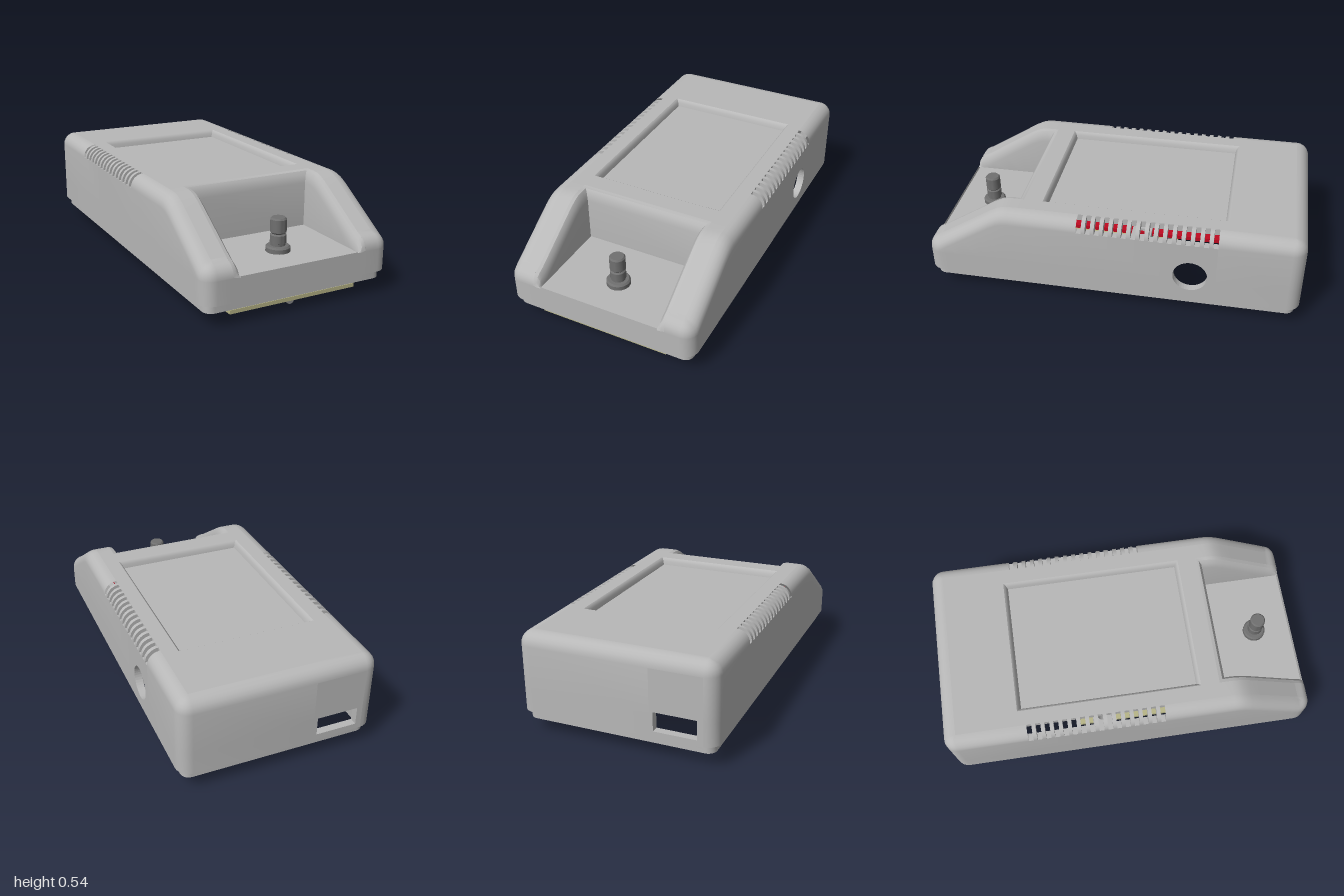
import * as THREE from 'three';
import { toCreasedNormals } from 'three/addons/utils/BufferGeometryUtils.js';

const mat = (name, color) => Object.assign(new THREE.MeshStandardMaterial({ color }), { name });

export function createModel() {
  const group = new THREE.Group();
  const shellGrey = mat('shell grey', 0xb8b8b8);
  shellGrey.side = THREE.DoubleSide;
  const shaftGrey = mat('shaft grey', 0x707070);
  const pinGrey = mat('pin grey', 0x8a8a8a);
  const olive = mat('circuit board olive', 0xb8b588);
  const red = mat('display board red', 0xc00a20);
  const purple = mat('module purple', 0xa870c0);

  const add = (name, geo, material, x = 0, y = 0, z = 0) => {
    const m = new THREE.Mesh(geo, material);
    m.name = name;
    m.position.set(x, y, z);
    group.add(m);
    return m;
  };
  const box = (name, material, x0, x1, y0, y1, z0, z1) =>
    add(name, new THREE.BoxGeometry(x1 - x0, y1 - y0, z1 - z0), material,
      (x0 + x1) / 2, (y0 + y1) / 2, (z0 + z1) / 2);
  const cyl = (name, material, r, y0, y1, x, z, n = 16) =>
    add(name, new THREE.CylinderGeometry(r, r, y1 - y0, n), material, x, (y0 + y1) / 2, z);

  // Grid of quads through rows of points, with an optional rule for leaving quads out
  const surface = (rows, skip = () => false) => {
    const pos = [];
    for (let j = 0; j < rows.length - 1; j++)
      for (let i = 0; i < rows[j].length - 1; i++) {
        if (skip(i, j)) continue;
        const a = rows[j][i], b = rows[j][i + 1], c = rows[j + 1][i + 1], d = rows[j + 1][i];
        pos.push(...a, ...d, ...c, ...a, ...c, ...b);
      }
    const g = new THREE.BufferGeometry();
    g.setAttribute('position', new THREE.Float32BufferAttribute(pos, 3));
    g.computeVertexNormals();
    return toCreasedNormals(g, 0.6);
  };
  const rect = (x0, x1, y0, y1, C = THREE.Shape) =>
    new C([[x0, y0], [x1, y0], [x1, y1], [x0, y1]].map(p => new THREE.Vector2(...p)));
  const circle = (x, y, r) => new THREE.Path().absarc(x, y, r, 0, Math.PI * 2, true);
  const extrude = (shape, depth) =>
    new THREE.ExtrudeGeometry(shape, { depth, bevelEnabled: false, curveSegments: 20 });
  const slab = (shape, depth) => extrude(shape, depth).rotateX(-Math.PI / 2); // shape y becomes -z

  // Case: half sizes to the corner centres, corner radius, sloped front
  const CX = 0.45, CZ = 0.93, R = 0.07, TOP = 0.54;
  const VENT0 = -0.56, VENT1 = 0.17;
  const drop = z => z < 0.54 ? 0 : z < 0.64 ? 3.2 * (z - 0.54) ** 2 : Math.min(0.225, 0.64 * (z - 0.59));
  const sideZ = [-CZ, VENT0, -0.29, VENT1, 0.54, 0.57, 0.6, 0.64, 0.7, 0.8, 0.9, 0.94 - 0.01];

  // Plan outline: corner-centre line with its outward normals
  const path = [];
  const corner = (x, z, a0) => {
    for (let k = 1; k < 6; k++) {
      const a = a0 + k * Math.PI / 12;
      path.push([x, z, Math.cos(a), Math.sin(a)]);
    }
  };
  sideZ.forEach(z => path.push([CX, z, 1, 0]));
  corner(CX, CZ, 0);
  [CX, 0.37, -0.37, -CX].forEach(x => path.push([x, CZ, 0, 1]));
  corner(-CX, CZ, Math.PI / 2);
  [...sideZ].reverse().forEach(z => path.push([-CX, z, -1, 0]));
  corner(-CX, -CZ, Math.PI);
  [-CX, -0.18, CX].forEach(x => path.push([x, -CZ, 0, -1]));
  corner(CX, -CZ, Math.PI * 1.5);
  path.push(path[0]);

  // Wall section as [inset, height]: inside, lip, outside, rounded top edge
  const levels = [[0.04, 0.47], [0.04, 0.24], [0.04, 0.12], [0.04, 0.075], [0.025, 0.075],
    [0.025, 0.12], [0, 0.12], [0, 0.24], [0, 0.47]];
  for (let k = 1; k <= 6; k++) {
    const a = k * Math.PI / 12;
    levels.push([R * (1 - Math.cos(a)), 0.47 + R * Math.sin(a)]);
  }
  const rings = levels.map(([d, y]) => path.map(([x, z, nx, nz]) => {
    const pz = z + nz * (R - d);
    return [x + nx * (R - d), y > 0.3 ? y - drop(pz) : y, pz];
  }));
  add('caseWalls', surface(rings, (i, j) => {
    const [x0, z0, nx, nz] = path[i], [x1, z1, mx, mz] = path[i + 1];
    if (nx !== mx || nz !== mz) return false;
    const x = (x0 + x1) / 2, z = (z0 + z1) / 2, y = (levels[j][1] + levels[j + 1][1]) / 2;
    const wall = y > 0.13 && y < 0.47;
    if (nz === 1) return Math.abs(x) < 0.37 && y > 0.24;        // control pocket
    if (nz === -1) return x < -0.18 && wall;                    // rear port panel
    if (nx === 1 && z > VENT0 && z < -0.29 && wall) return true; // side hole panel
    return z > VENT0 && z < VENT1 && y > 0.47;                  // vents
  }), shellGrey);

  // Wall panels with openings
  const sidePanel = rect(0.29, 0.56, 0.12, 0.47);
  sidePanel.holes.push(circle(0.425, 0.27, 0.09));
  add('sideHolePanel', extrude(sidePanel, 0.04).rotateY(Math.PI / 2), shellGrey, 0.48);
  const rearPanel = rect(-0.45, -0.18, 0.12, 0.47);
  rearPanel.holes.push(rect(-0.42, -0.2, 0.15, 0.25, THREE.Path));
  add('rearPortPanel', extrude(rearPanel, 0.04), shellGrey, 0, 0, -1);

  // Top plate with the screen window, and its bevelled frame
  const top = rect(-CX, CX, -0.48, CZ);
  top.holes.push(rect(-0.37, 0.37, -0.38, 0.6, THREE.Path));
  add('topPlate', slab(top, 0.035), shellGrey, 0, TOP - 0.035);
  const frame = [[0, TOP], [0.007, 0.535], [0.015, 0.522], [0.02, 0.498]].map(([e, y]) =>
    [[-0.37 + e, -0.6 + e], [0.37 - e, -0.6 + e], [0.37 - e, 0.38 - e], [-0.37 + e, 0.38 - e],
      [-0.37 + e, -0.6 + e]].map(([x, z]) => [x, y, z]));
  add('screenFrame', surface(frame), shellGrey);
  box('screen', shellGrey, -0.36, 0.36, 0.485, 0.5, -0.59, 0.37);

  // Sloping arm tops on both sides of the pocket
  const armZ = [0.48, ...sideZ.filter(z => z > 0.5)];
  for (const xs of [[CX, 0.37], [-0.37, -CX]])
    add('armTop', surface(xs.map(x => armZ.map(z => [x, TOP - drop(z), z]))), shellGrey);

  // Pocket: rounded rim and walls follow a U, then a flat floor
  const rimZ = [1, 0.995, 0.98, 0.96, ...[...armZ].reverse().slice(0, -1)];
  const endDrop = z => z > CZ ? R - Math.sqrt(Math.max(0, R * R - (z - CZ) ** 2)) : 0;
  const rim = [[0.04, TOP], [0.022, 0.535], [0.008, 0.515], [0, 0.475], [0, 0.24]].map(([e, y]) => {
    const half = [...rimZ, 0.52 - e].map(z => [0.33 + e, Math.max(0.24, y - drop(z) - endDrop(z)), z]);
    return [...half.map(([x, h, z]) => [-x, h, z]), ...half.reverse()];
  });
  add('pocketWalls', surface(rim), shellGrey);
  box('pocketFloor', shellGrey, -0.37, 0.37, 0.205, 0.24, 0.5, 0.99);

  // Vent bars across the rounded side edges
  const bar = new THREE.Shape();
  bar.absarc(0, 0, R, 0, Math.PI / 2, false);
  bar.absarc(0, 0, 0.035, Math.PI / 2, 0, true);
  const slot = 0.026, tooth = (VENT1 - VENT0 - 16 * slot) / 15;
  for (const s of [1, -1]) {
    for (let k = 0; k < 15; k++) {
      const g = extrude(bar, tooth);
      if (s < 0) g.rotateY(Math.PI).translate(0, 0, tooth);
      add('ventBar', g, shellGrey, s * CX, 0.47, VENT0 + slot + k * (slot + tooth));
    }
    add('ventLedge', new THREE.PlaneGeometry(0.04, VENT1 - VENT0).rotateX(-Math.PI / 2),
      shellGrey, s * 0.5, 0.47, (VENT0 + VENT1) / 2);
    // Screw boss on the inner wall
    const boss = rect(-0.05, 0.05, -0.05, 0.05);
    boss.holes.push(circle(0, 0, 0.025));
    add('screwBoss', slab(boss, 0.38), shellGrey, s * 0.435, 0.085, -0.16);
  }

  // Boards inside and below the case
  box('displayBoard', red, -0.42, 0.42, 0.43, 0.45, -0.58, 0.38);
  box('mainBoard', olive, -0.36, 0.35, 0.04, 0.06, -0.3, 0.95);
  const module = new THREE.Shape();
  module.absarc(-0.07, 0, 0.06, Math.PI / 2, Math.PI * 1.5, false);
  module.absarc(0.07, 0, 0.06, -Math.PI / 2, Math.PI / 2, false);
  module.holes.push(circle(-0.09, 0, 0.022), circle(0.09, 0, 0.022));
  add('sensorModule', slab(module, 0.02), purple, 0.24, 0.19, 0.03).rotation.y = Math.PI / 2;
  cyl('buzzer', pinGrey, 0.09, 0.068, 0.19, 0.23, 0.51, 32);
  for (const dz of [-0.04, 0.04]) cyl('buzzerPin', pinGrey, 0.012, 0.055, 0.07, 0.23, 0.51 + dz, 8);

  // Header pins
  for (let k = 0; k < 8; k++) {
    const x = -0.17 + k * 0.0458;
    box('headerPin', pinGrey, x - 0.006, x + 0.006, 0.01, 0.19, -0.246, -0.234);
  }
  box('header', shaftGrey, -0.193, 0.174, 0.06, 0.075, -0.26, -0.22);

  // Rotary control: body, legs, lugs and turned shaft
  box('encoderBody', shaftGrey, -0.14, 0.14, 0.066, 0.206, 0.68, 0.9);
  for (const [x, z] of [[-0.135, 0.75], [-0.135, 0.795], [-0.135, 0.84], [0.125, 0.75], [0.125, 0.84]])
    box('encoderLeg', pinGrey, x - 0.004, x + 0.004, 0.003, 0.08, z - 0.007, z + 0.007);
  for (const z of [0.685, 0.905]) {
    const lug = cyl('encoderLug', pinGrey, 0.022, -0.005, 0.005, 0, z, 16);
    lug.rotation.x = Math.PI / 2;
    lug.position.y = 0.024;
    box('encoderLugStrip', pinGrey, -0.022, 0.022, 0.024, 0.1, z - 0.005, z + 0.005);
  }
  const profile = [[0, 0.2], [0.062, 0.2], [0.062, 0.262], [0.054, 0.27], [0.036, 0.27], [0.036, 0.282],
    [0.041, 0.284], [0.041, 0.325], [0.034, 0.332], [0.041, 0.34], [0.041, 0.405], [0.034, 0.413], [0, 0.413]];
  add('encoderShaft', toCreasedNormals(new THREE.LatheGeometry(
    profile.map(p => new THREE.Vector2(...p)), 28), 0.5), shaftGrey, 0, 0, 0.785);

  return group;
}
